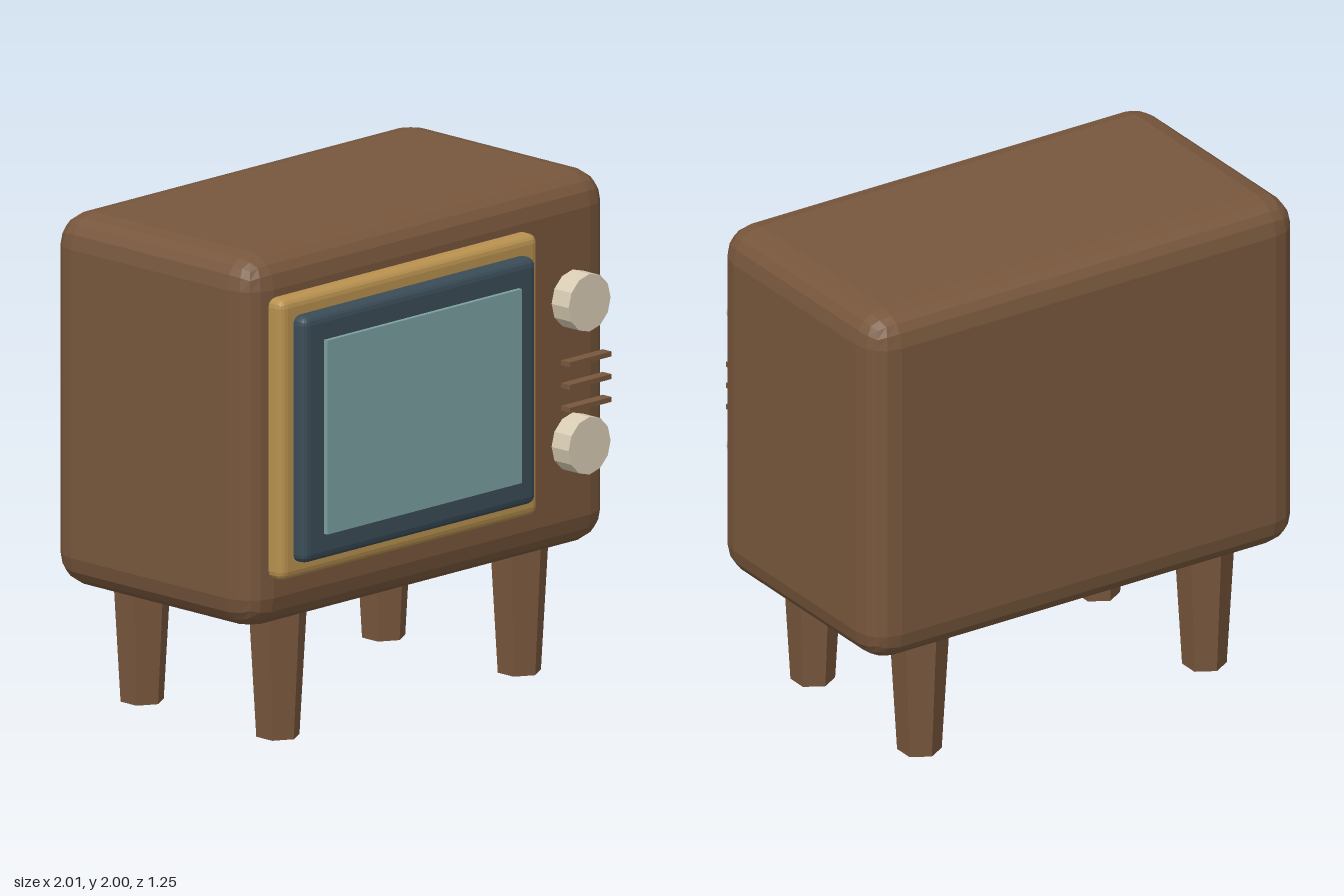
import * as THREE from 'three';
import { RoundedBoxGeometry } from 'three/addons/geometries/RoundedBoxGeometry.js';

function material(name, color) {
  const m = new THREE.MeshStandardMaterial({ color, flatShading: true });
  m.name = name;
  return m;
}

export function createModel() {
  const group = new THREE.Group();
  const wood = material('walnut', 0x77563c);
  const gold = material('gold', 0xb8914f);
  const navy = material('slate blue', 0x3a4c57);
  const glass = material('teal glass', 0x7a9fa0);
  const cream = material('cream', 0xd8ccb4);

  const add = (name, geometry, mat, x, y, z) => {
    const mesh = new THREE.Mesh(geometry, mat);
    mesh.name = name;
    mesh.position.set(x, y, z);
    group.add(mesh);
    return mesh;
  };

  // Box given by its limits on each axis, rounded when r > 0
  const block = (name, mat, [x0, x1], [y0, y1], [z0, z1], r = 0) => {
    const size = [x1 - x0, y1 - y0, z1 - z0];
    const geometry = r > 0 ? new RoundedBoxGeometry(...size, 2, r) : new THREE.BoxGeometry(...size);
    return add(name, geometry, mat, (x0 + x1) / 2, (y0 + y1) / 2, (z0 + z1) / 2);
  };

  // Cabinet
  block('cabinet', wood, [-1.005, 1.005], [0.495, 1.995], [-0.63, 0.48], 0.13);

  // Screen surround, stepping forward in layers
  block('outerFrame', gold, [-0.9, 0.525], [0.705, 1.835], [0.445, 0.547], 0.035);
  block('innerFrame', navy, [-0.835, 0.457], [0.773, 1.765], [0.505, 0.606], 0.035);
  block('screen', glass, [-0.725, 0.35], [0.88, 1.66], [0.59, 0.625]);

  // Control knobs
  for (const y of [1.52, 0.945]) {
    const knob = add('knob', new THREE.CylinderGeometry(0.116, 0.116, 0.093, 12), cream, 0.757, y, 0.545);
    knob.rotation.x = Math.PI / 2;
  }

  // Speaker slats between the knobs
  for (const y of [1.293, 1.202, 1.11]) {
    block('speakerSlat', wood, [0.642, 0.872], [y - 0.01, y + 0.01], [0.55, 0.597]);
  }

  // Tapered six-sided legs
  for (const x of [-0.667, 0.667]) {
    for (const z of [0.297, -0.443]) {
      add('leg', new THREE.CylinderGeometry(0.117, 0.087, 0.52, 6), wood, x, 0.26, z);
    }
  }

  return group;
}
